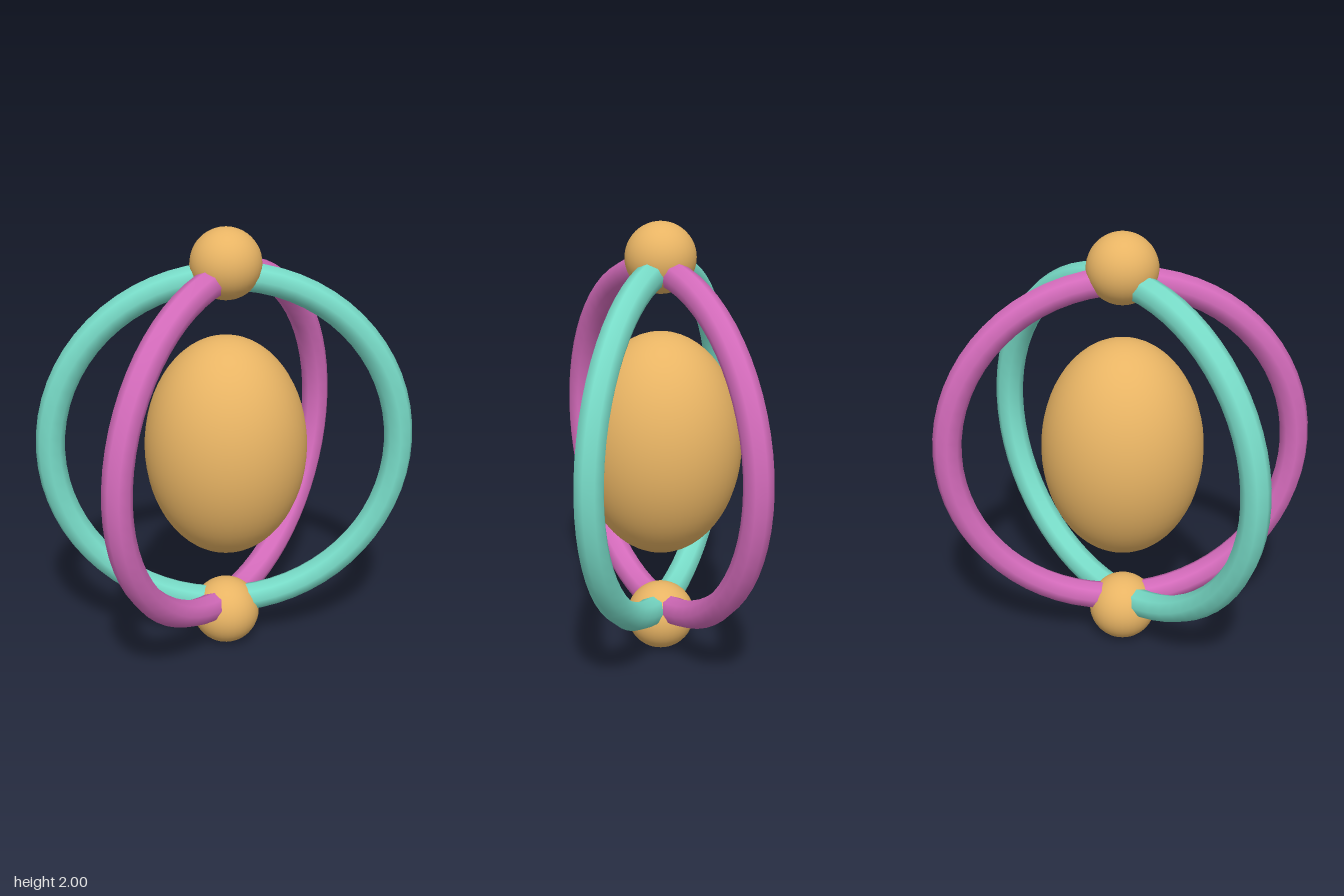
import * as THREE from 'three';

export function createModel() {
  const model = new THREE.Group();
  const gold = new THREE.MeshStandardMaterial({ color: 0xe8b464 });
  const teal = new THREE.MeshStandardMaterial({ color: 0x78dcc8 });
  const pink = new THREE.MeshStandardMaterial({ color: 0xd46bbb });

  const add = (name, geometry, material, y) => {
    const mesh = new THREE.Mesh(geometry, material);
    mesh.name = name;
    mesh.position.y = y;
    model.add(mesh);
    return mesh;
  };

  // Egg-shaped core floating in the middle
  const core = new THREE.SphereGeometry(1, 48, 32).scale(0.367, 0.512, 0.367);
  add('core', core, gold, 1);

  // Two upright rings crossing at the poles
  const ring = new THREE.TorusGeometry(0.788, 0.065, 8, 64);
  add('straightRing', ring, teal, 1);
  add('turnedRing', ring, pink, 1).rotation.y = 0.9;

  // Balls covering the crossings
  const ball = new THREE.SphereGeometry(0.157, 32, 24);
  add('topBall', ball, gold, 1.843);
  add('bottomBall', ball, gold, 0.157);

  return model;
}
